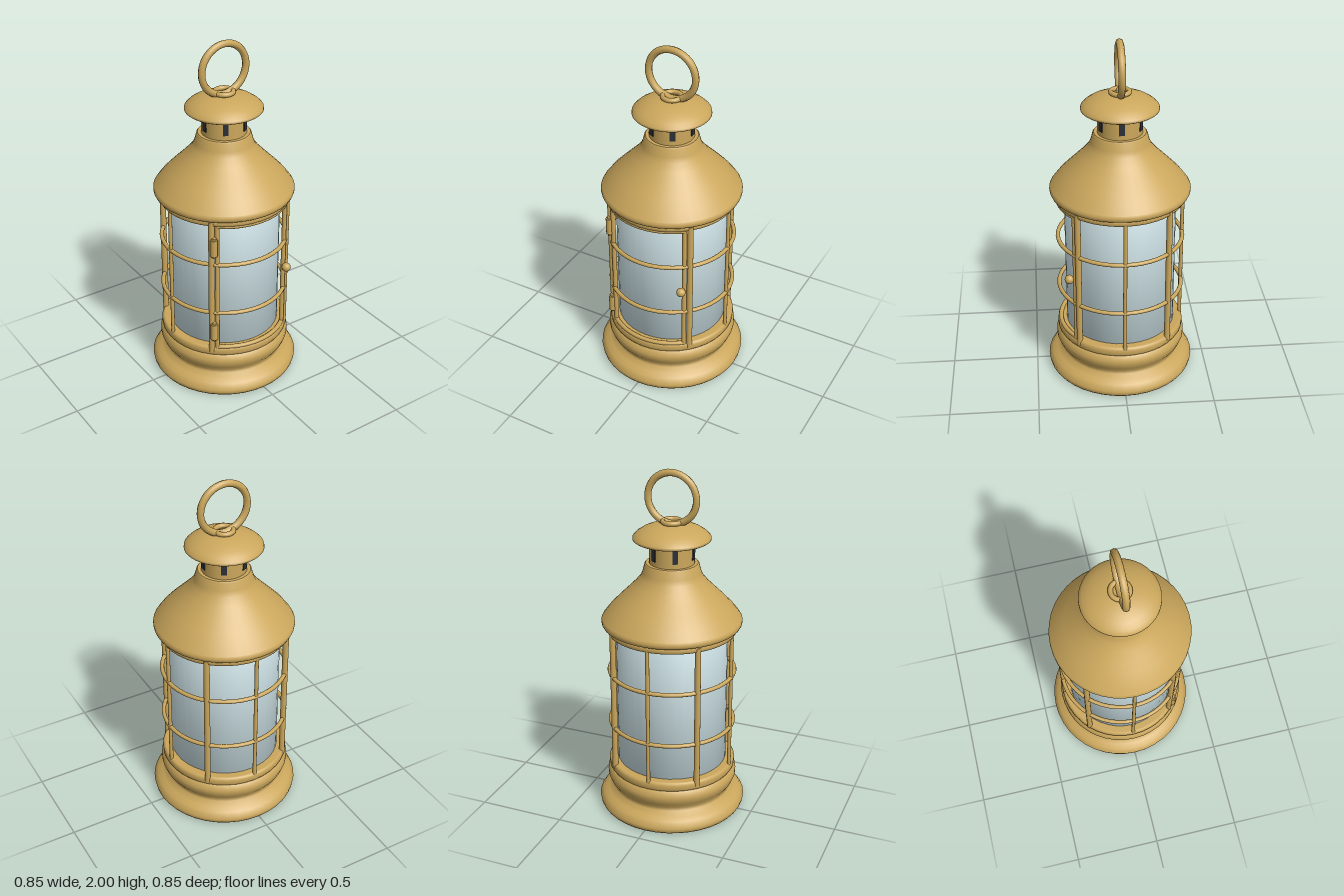
import * as THREE from 'three';

const brass = new THREE.MeshStandardMaterial({ color: 0xcba75c });
brass.name = 'brass';
const glass = new THREE.MeshStandardMaterial({ color: 0xc8dce0 });
glass.name = 'pale glass';
const dark = new THREE.MeshStandardMaterial({ color: 0x2b3038 });
dark.name = 'dark vent';

const SEG = 40;
const CAGE_R = 0.355; // radius on which the cage bars stand
const rad = THREE.MathUtils.degToRad;

export function createModel() {
  const model = new THREE.Group();
  model.name = 'lantern';

  const add = (name, geometry, material = brass, parent = model) => {
    const mesh = new THREE.Mesh(geometry, material);
    mesh.name = name;
    parent.add(mesh);
    return mesh;
  };
  const lathe = (name, points, material) =>
    add(name, new THREE.LatheGeometry(points.map(([r, y]) => new THREE.Vector2(r, y)), SEG), material);

  // Upright rod at an angle from the front (positive towards +x)
  const rod = (name, deg, radius, y0, y1, r = CAGE_R, parent = model) => {
    const mesh = add(name, new THREE.CylinderGeometry(radius, radius, y1 - y0, 12), brass, parent);
    mesh.position.set(Math.sin(rad(deg)) * r, (y0 + y1) / 2, Math.cos(rad(deg)) * r);
    return mesh;
  };
  // Horizontal hoop, or an arc of one centred on the front
  const hoop = (name, y, r, tube, deg = 360, parent = model) => {
    const g = new THREE.TorusGeometry(r, tube, 10, deg === 360 ? 48 : 16, rad(deg));
    g.rotateZ(rad(90 - deg / 2)).rotateX(Math.PI / 2);
    add(name, g, brass, parent).position.y = y;
  };

  // Base with spread foot, waist and bulge
  lathe('base', [[0, 0], [0.415, 0], [0.422, 0.01], [0.427, 0.035], [0.405, 0.068], [0.375, 0.08],
    [0.347, 0.105], [0.345, 0.125], [0.365, 0.155], [0.376, 0.185], [0.376, 0.21], [0.363, 0.24],
    [0.345, 0.245]]);
  lathe('lowerCollar', [[0.345, 0.24], [0.36, 0.243], [0.367, 0.255], [0.367, 0.28], [0.36, 0.292],
    [0.35, 0.295], [0, 0.295]]);

  // Glass cylinder
  lathe('glass', [[0, 0.29], [0.315, 0.29], [0.315, 1.1], [0, 1.1]], glass);

  // Cage: four stout posts, three thin bars and two hoops
  const cage = new THREE.Group();
  cage.name = 'cage';
  model.add(cage);
  for (const a of [45, 135, 225, 315]) rod('post', a, 0.017, 0.265, 1.115, CAGE_R, cage);
  for (const a of [90, 180, 270]) rod('thinBar', a, 0.011, 0.28, 1.1, CAGE_R, cage);
  for (const y of [0.53, 0.845]) hoop('hoop', y, CAGE_R, 0.012, 360, cage);

  // Front door with frame, hinges and knob
  const door = new THREE.Group();
  door.name = 'door';
  model.add(door);
  for (const a of [-40, 40]) rod('doorStile', a, 0.013, 0.29, 1.09, 0.35, door);
  hoop('doorRail', 0.295, 0.35, 0.013, 80, door);
  hoop('doorRail', 1.085, 0.35, 0.014, 80, door);
  for (const y of [0.41, 0.96]) {
    rod('hinge', -42.5, 0.021, y - 0.05, y + 0.05, 0.366, door);
    rod('hingePin', -42.5, 0.013, y - 0.06, y + 0.06, 0.366, door);
  }
  const knob = add('knob', new THREE.SphereGeometry(0.026, 16, 12), brass, door);
  knob.position.set(0.223, 0.687, 0.302);

  // Upper collar under the roof
  lathe('upperCollar', [[0, 1.085], [0.35, 1.085], [0.362, 1.09], [0.367, 1.1], [0.367, 1.115],
    [0.36, 1.127], [0.34, 1.13]]);

  // Roof with rolled brim and curved cone
  lathe('brim', [[0, 1.125], [0.375, 1.125], [0.389, 1.13], [0.394, 1.142], [0.394, 1.155], [0.388, 1.165]]);
  lathe('roof', [[0.388, 1.165], [0.35, 1.215], [0.305, 1.262], [0.255, 1.312], [0.208, 1.36],
    [0.175, 1.4], [0.162, 1.43], [0.15, 1.475], [0.143, 1.482]]);
  lathe('roofTop', [[0.144, 1.482], [0, 1.482]]);

  // Chimney with six vent slots
  add('chimney', new THREE.CylinderGeometry(0.125, 0.125, 0.15, SEG)).position.y = 1.55;
  for (let i = 0; i < 6; i++) {
    const a = rad(30 + i * 60);
    const vent = add('vent', new THREE.BoxGeometry(0.03, 0.078, 0.009), dark);
    vent.position.set(Math.sin(a) * 0.125, 1.55, Math.cos(a) * 0.125);
    vent.rotation.y = a;
  }

  // Domed cap
  lathe('capUnderside', [[0, 1.612], [0.207, 1.612]]);
  lathe('cap', [[0.207, 1.612], [0.215, 1.618], [0.213, 1.63], [0.195, 1.648], [0.165, 1.668],
    [0.125, 1.685], [0.08, 1.697], [0.04, 1.702], [0, 1.703]]);

  // Eyelet and carrying ring
  hoop('eyelet', 1.712, 0.05, 0.014);
  add('carryingRing', new THREE.TorusGeometry(0.14, 0.02, 8, 40)).position.y = 1.84;

  return model;
}
